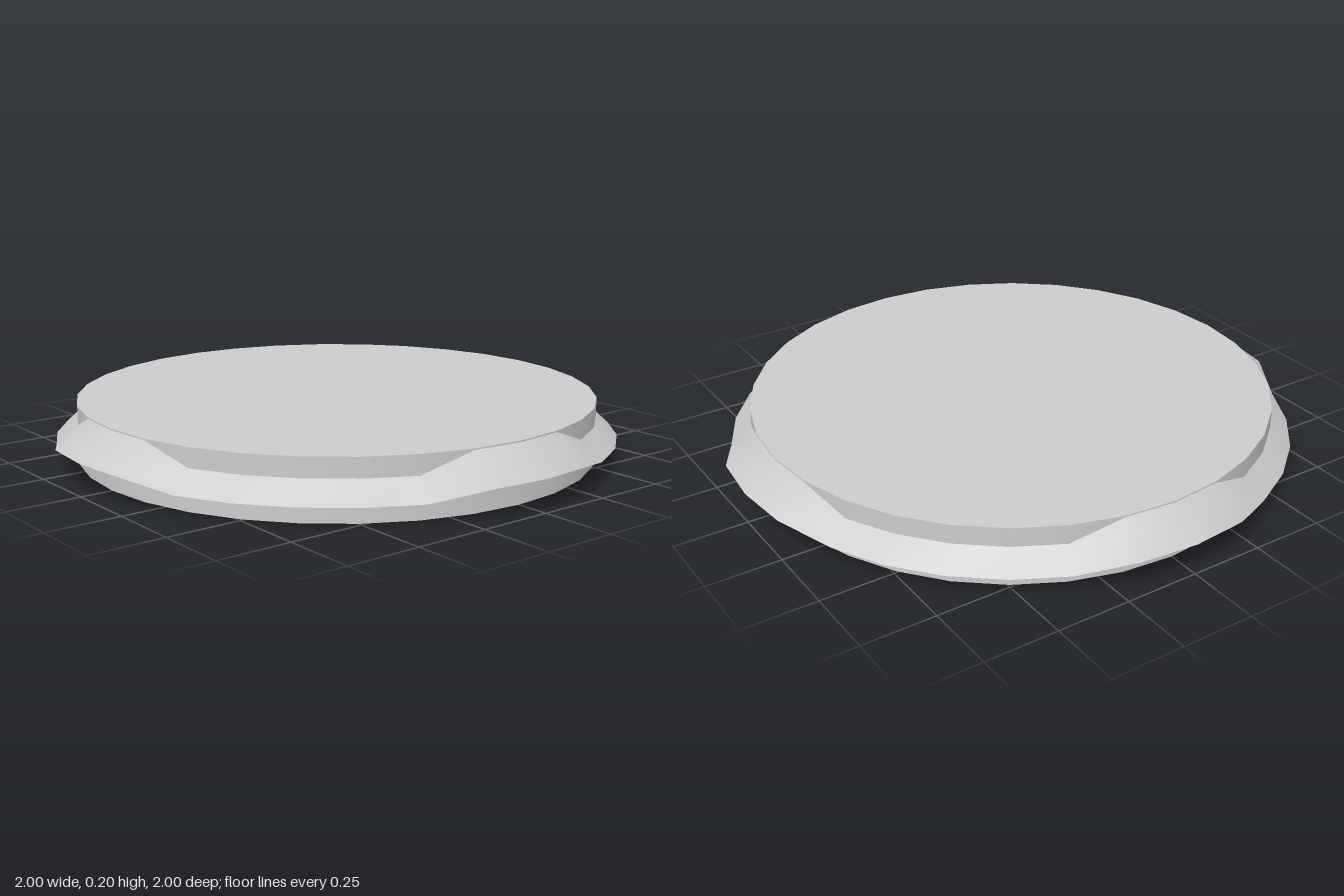
import * as THREE from 'three';
import { toCreasedNormals } from 'three/addons/utils/BufferGeometryUtils.js';

const SIDES = 32;
const DISC_R = 0.89;

// Cross-section of the rim as [radius, height], from underneath, outwards and back up to the disc
const PLAIN = [[DISC_R, 0.07], [0.963, 0.07], [DISC_R, 0.135], [DISC_R, 0.135]];
const RAISED = [[DISC_R, 0.07], [1.0, 0.105], [0.923, 0.167], [DISC_R, 0.195]];

// Every quarter turn the rim swells over three neighbouring sections
function sectionAt(i) {
  const k = i % (SIDES / 4);
  return k <= 1 || k === SIDES / 4 - 1 ? RAISED : PLAIN;
}

function rimGeometry() {
  const positions = [];
  const point = (i, j) => {
    const [r, y] = sectionAt(i)[j];
    const a = (i / SIDES) * Math.PI * 2;
    return new THREE.Vector3(r * Math.sin(a), y, r * Math.cos(a));
  };
  const triangle = (a, b, c) => {
    // plain sections close to a point at the top, so skip empty triangles
    if (new THREE.Triangle(a, b, c).getArea() < 1e-7) return;
    for (const p of [a, b, c]) positions.push(p.x, p.y, p.z);
  };
  for (let i = 0; i < SIDES; i++) {
    for (let j = 0; j < 3; j++) {
      const a = point(i, j), b = point(i + 1, j), c = point(i + 1, j + 1), d = point(i, j + 1);
      triangle(a, b, c);
      triangle(a, c, d);
    }
  }
  const geometry = new THREE.BufferGeometry();
  geometry.setAttribute('position', new THREE.Float32BufferAttribute(positions, 3));
  return toCreasedNormals(geometry, THREE.MathUtils.degToRad(28));
}

export function createModel() {
  const group = new THREE.Group();
  group.name = 'roundLid';
  const material = new THREE.MeshStandardMaterial({ color: 0xcccccc });

  // Plain disc forming the body, its top and its foot
  const disc = new THREE.Mesh(new THREE.CylinderGeometry(DISC_R, DISC_R, 0.2, SIDES), material);
  disc.name = 'disc';
  disc.position.y = 0.1;

  // Bevelled rim with four raised grips
  const rim = new THREE.Mesh(rimGeometry(), material);
  rim.name = 'rim';

  group.add(disc, rim);
  return group;
}
